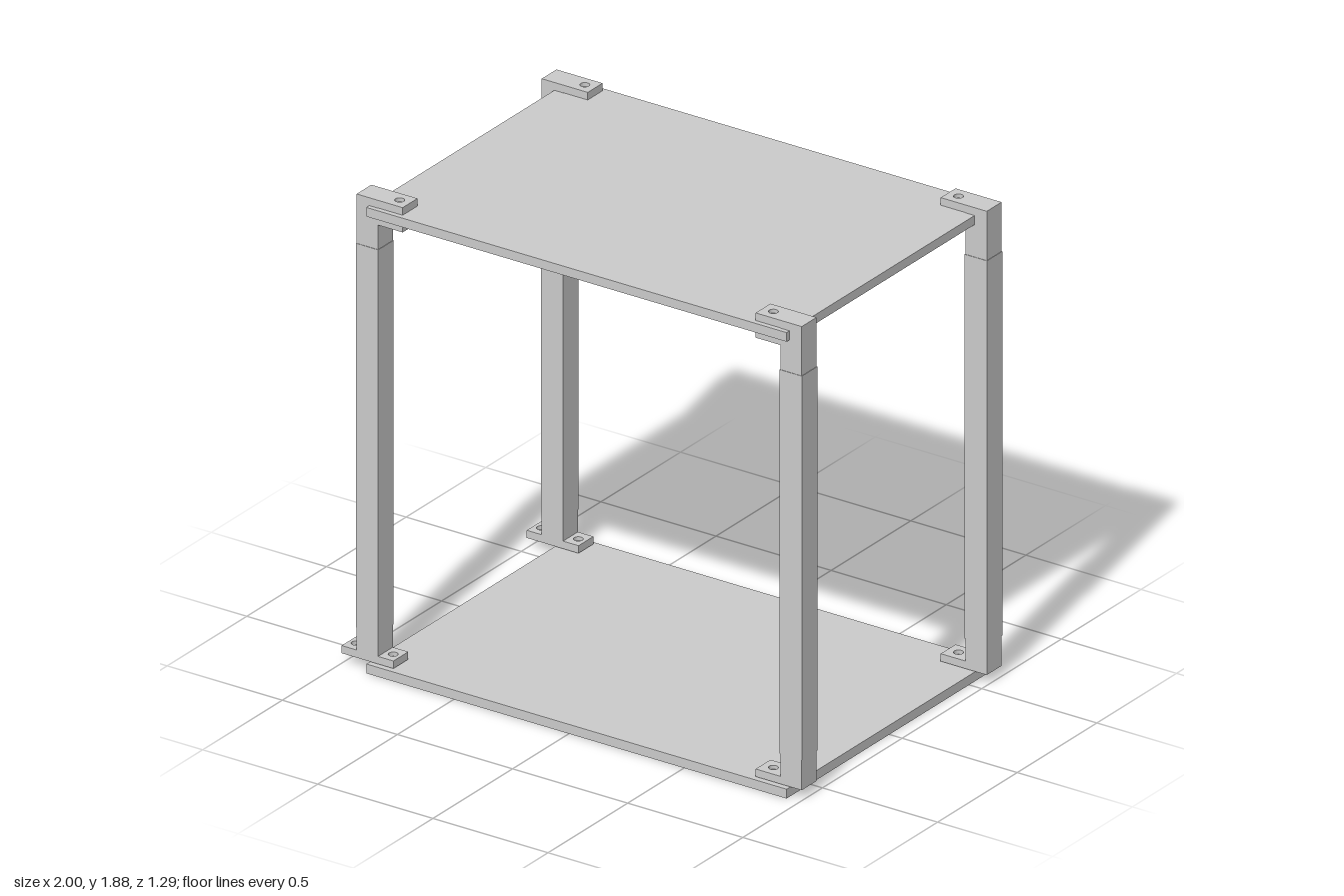
import * as THREE from 'three';

const material = new THREE.MeshStandardMaterial({ color: 0xcccccc, flatShading: true });
const POST = 0.093; // square post width
const TAB = 0.03; // tab thickness

function box(name, x0, x1, y0, y1, z0, z1) {
  const mesh = new THREE.Mesh(new THREE.BoxGeometry(x1 - x0, y1 - y0, z1 - z0), material);
  mesh.name = name;
  mesh.position.set((x0 + x1) / 2, (y0 + y1) / 2, (z0 + z1) / 2);
  return mesh;
}

// Flat layer with one vertical hole, lying in the xz plane around z = 0
function drilledLayer(x0, x1, y, height, holeX, radius, sides) {
  const h = POST / 2;
  const shape = new THREE.Shape();
  shape.moveTo(x0, -h).lineTo(x1, -h).lineTo(x1, h).lineTo(x0, h).closePath();
  const ring = [];
  for (let i = 0; i < sides; i++) {
    const a = -i / sides * Math.PI * 2;
    ring.push(new THREE.Vector2(holeX + Math.cos(a) * radius, Math.sin(a) * radius));
  }
  shape.holes.push(new THREE.Path(ring));
  const geometry = new THREE.ExtrudeGeometry(shape, { depth: height, bevelEnabled: false });
  geometry.rotateX(-Math.PI / 2).translate(0, y, 0);
  return new THREE.Mesh(geometry, material);
}

// Screw tab: narrow hole with a wider recess on the top or the underside
function tab(name, x0, x1, y, holeX, recess) {
  const group = new THREE.Group();
  group.name = name;
  const half = TAB / 2;
  const wide = recess === 'top' ? [0.018, 20] : [0.024, 6];
  const lower = recess === 'top' ? [0.009, 20] : wide;
  const upper = recess === 'top' ? wide : [0.009, 20];
  group.add(drilledLayer(x0, x1, y, half, holeX, ...lower));
  group.add(drilledLayer(x0, x1, y + half, half, holeX, ...upper));
  return group;
}

// Post with its outer face at x0, reaching toward the shelves along dir
function post(name, outerX, dir, z, flanged) {
  const group = new THREE.Group();
  group.name = name;
  group.position.z = z;
  const h = POST / 2;
  const inner = outerX + dir * POST;
  const span = (from, length, d) => [Math.min(from, from + d * length), Math.max(from, from + d * length)];
  const [p0, p1] = span(outerX, POST, dir);

  // end sockets and the very slightly thicker middle
  group.add(box('postCore', p0, p1, 0.04, 1.875, -h, h));
  const e = 0.002;
  group.add(box('postSleeve', p0 - e, p1 + e, 0.16, 1.68, -h - e, h + e));

  // upper clamp tabs around the top shelf
  const [t0, t1] = span(inner, 0.107, dir);
  const holeX = inner + dir * 0.062;
  group.add(tab('upperClampTab', t0, t1, 1.845, holeX, 'top'));
  group.add(tab('lowerClampTab', t0, t1, 1.777, holeX, 'bottom'));

  // foot tabs
  if (flanged) {
    const [a0, a1] = span(inner, 0.067, dir);
    const [b0, b1] = span(outerX, 0.065, -dir);
    group.add(tab('innerFootTab', a0, a1, 0.04, inner + dir * 0.034, 'top'));
    group.add(tab('outerFootTab', b0, b1, 0.04, outerX - dir * 0.034, 'top'));
  } else {
    group.add(tab('footTab', t0, t1, 0.04, holeX, 'top'));
  }
  return group;
}

export function createModel() {
  const model = new THREE.Group();
  model.name = 'shelfFrame';

  // shelves
  model.add(box('bottomShelf', -0.88, 0.945, 0, 0.037, -0.646, 0.646));
  model.add(box('topShelf', -0.88, 0.945, 1.808, 1.844, -0.646, 0.646));

  // four posts
  for (const [side, z] of [['front', 0.581], ['back', -0.581]]) {
    model.add(post(side + 'RightPost', -0.935, 1, z, true));
    model.add(post(side + 'LeftPost', 0.998, -1, z, false));
  }
  return model;
}
